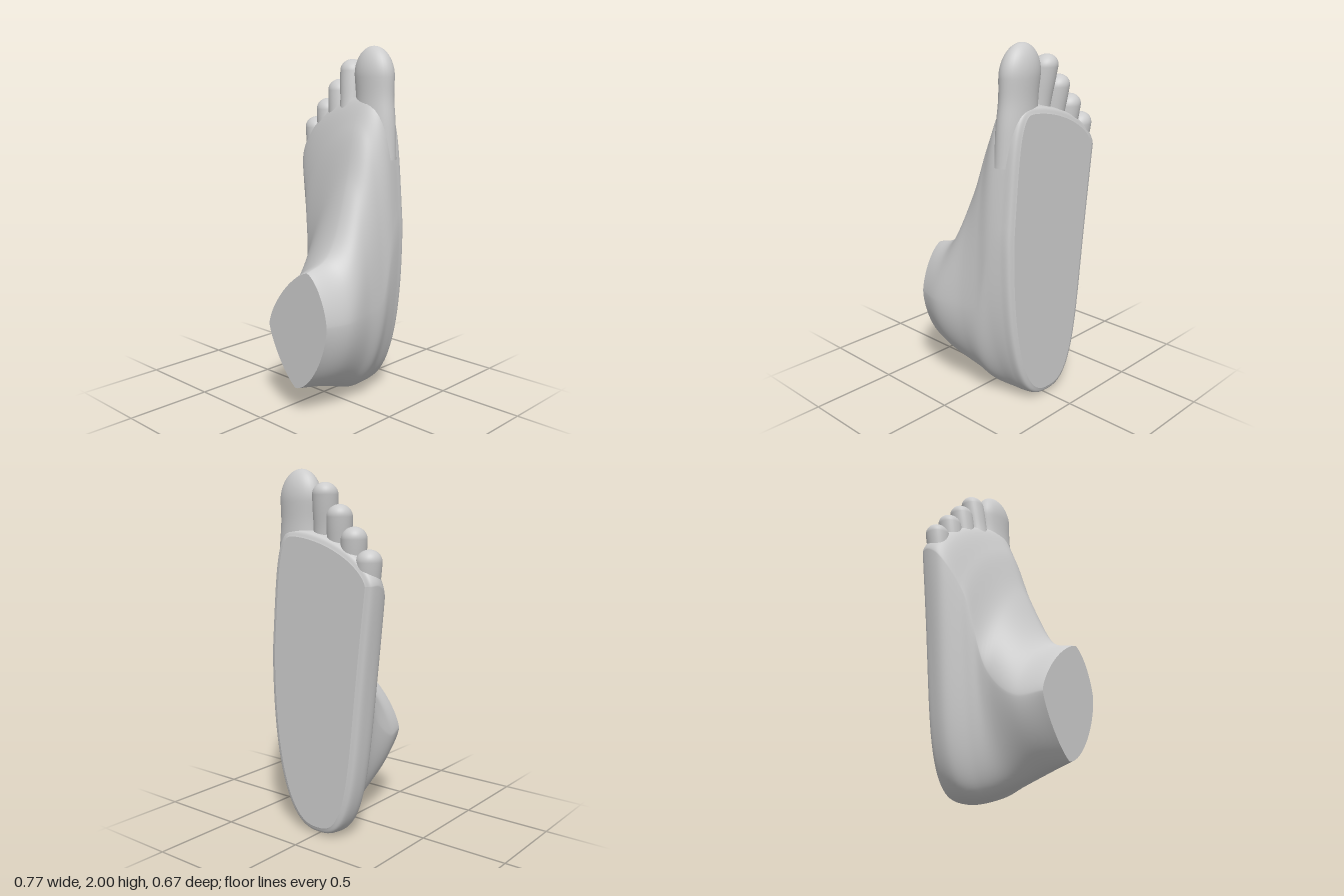
import * as THREE from 'three';

const grey = new THREE.MeshStandardMaterial({ color: 0xcccccc });
const greyCap = new THREE.MeshStandardMaterial({ color: 0xcccccc, side: THREE.DoubleSide });
const SOLE = -0.333, CUT = 0.335;
const QUARTER = 30;

// Smooth skin over a list of closed rings of equal length
function skin(rings, name) {
  const n = rings[0].length, index = [];
  for (let v = 0; v < rings.length - 1; v++) {
    for (let u = 0; u < n; u++) {
      const a = v * n + u, b = v * n + (u + 1) % n;
      index.push(a, a + n, b, b, a + n, b + n);
    }
  }
  const geo = new THREE.BufferGeometry().setFromPoints(rings.flat());
  geo.setIndex(index);
  geo.computeVertexNormals();
  const mesh = new THREE.Mesh(geo, grey);
  mesh.name = name;
  return mesh;
}

// Outline at height z: four superellipse quarters joining the instep, inner side,
// heel and outer side; blunt at the sole, pointed at the ankle. Near the sole the
// sides are drawn in a little to give a straight outer edge and an inner waist.
function outline(z, instep, inner, heel, outer) {
  const h = (z - SOLE) / (CUT - SOLE);
  const power = [0.7 + 0.6 * h, 0.76 + 0.46 * h, 0.78 + 0.75 * h * h, 1.15 + 0.25 * h];
  const pull = [-0.02, 0, 0.062, 0].map(p => p * Math.max(0, 1 - 1.6 * h));
  const ends = [instep, inner, heel, outer];
  const ring = [];
  for (let q = 0; q < 4; q++) {
    const from = ends[q], to = ends[(q + 1) % 4];
    const upright = q % 2 === 0;
    const cx = upright ? from[0] : to[0], cy = upright ? to[1] : from[1];
    for (let i = 0; i < QUARTER; i++) {
      const a = i / QUARTER * Math.PI / 2;
      const f = Math.cos(a) ** power[q], t = Math.sin(a) ** power[q];
      ring.push(new THREE.Vector3(
        cx + (from[0] - cx) * f + (to[0] - cx) * t + pull[q] * Math.sin(Math.PI * f),
        cy + (from[1] - cy) * f + (to[1] - cy) * t, z));
    }
  }
  return ring;
}

// Copy of a ring moved inwards and down to round off the rim of the sole
function inset(ring, amount, z) {
  const n = ring.length;
  return ring.map((p, i) => {
    const d = ring[(i + 1) % n].clone().sub(ring[(i + n - 1) % n]).normalize();
    return new THREE.Vector3(p.x + d.y * amount, p.y - d.x * amount, z);
  });
}

function cap(ring, name) {
  const shape = new THREE.Shape(ring.map(p => new THREE.Vector2(p.x, p.y)));
  const mesh = new THREE.Mesh(new THREE.ShapeGeometry(shape), greyCap);
  mesh.position.z = ring[0].z;
  mesh.name = name;
  return mesh;
}

// Toe: elliptical sections from inside the ball of the foot, slim neck, round tip
function toe(name, root, tip, rx, rz, tipLength) {
  const start = new THREE.Vector3(...root), end = new THREE.Vector3(...tip);
  const round = tipLength / start.distanceTo(end);
  const rings = [];
  for (let i = 0; i <= 40; i++) {
    const s = i / 40;
    const t = s < 0.5 ? s * 2 * (1 - round) : 1 - round * (1 - Math.sin((s - 0.5) * Math.PI));
    const c = start.clone().lerp(end, t);
    const k = Math.max(0, (t - 1 + round) / round);
    const neck = 1 - 0.06 * Math.exp(-(((t - 0.55) / 0.16) ** 2));
    const r = Math.sqrt(Math.max(0, 1 - k * k)) * neck;
    const ring = [];
    for (let u = 0; u < 32; u++) {
      const a = u / 32 * Math.PI * 2;
      ring.push(new THREE.Vector3(
        c.x + Math.cos(a) * rx * r, c.y, Math.max(SOLE + 0.003, c.z + Math.sin(a) * rz * r)));
    }
    rings.push(ring);
  }
  return skin(rings, name);
}

export function createModel() {
  const foot = new THREE.Group();
  foot.name = 'foot';

  // Outlines from the rim of the sole up to the cut ankle
  const base = outline(-0.27, [.14, 1.69], [.327, 1], [-.01, .005], [-.383, 1.41]);
  const rings = [
    inset(base, 0.042, SOLE),
    inset(base, 0.013, -0.318),
    base,
    outline(-0.2, [.14, 1.73], [.343, .9], [-.01, 0], [-.368, 1.36]),
    outline(-0.1, [.14, 1.56], [.352, .6], [.01, .015], [-.25, 1.12]),
    outline(0, [.17, 1.25], [.36, .57], [.03, .05], [-.157, .65]),
    outline(0.18, [.2, .885], [.385, .55], [.09, .118], [-.142, .48]),
    outline(CUT, [.2, .82], [.345, .55], [.11, .155], [-.1, .48]),
  ];

  // Blend the outlines smoothly along every column
  const columns = base.map((_, u) =>
    new THREE.CatmullRomCurve3(rings.map(r => r[u]), false, 'centripetal'));
  const ROWS = 64;
  const body = Array.from({ length: ROWS + 1 }, (_, v) => columns.map(c => c.getPoint(v / ROWS)));
  foot.add(skin(body, 'footAndAnkle'));
  foot.add(cap(body[0], 'sole'), cap(body[ROWS], 'ankleCut'));

  // Big toe, then four smaller toes stepping back along the outer side, side by side
  foot.add(toe('bigToe', [.18, 1.38, -.235], [.145, 2, -.248], .13, .086, .17));
  ['secondToe', 'thirdToe', 'fourthToe', 'littleToe'].forEach((name, i) => {
    foot.add(toe(name, [.02 - .1 * i, 1.4 - .065 * i, -.195 - .015 * i],
      [-.03 - .096 * i, 1.93 - .112 * i, -.265], .069, .069, .065));
  });
  return foot;
}
